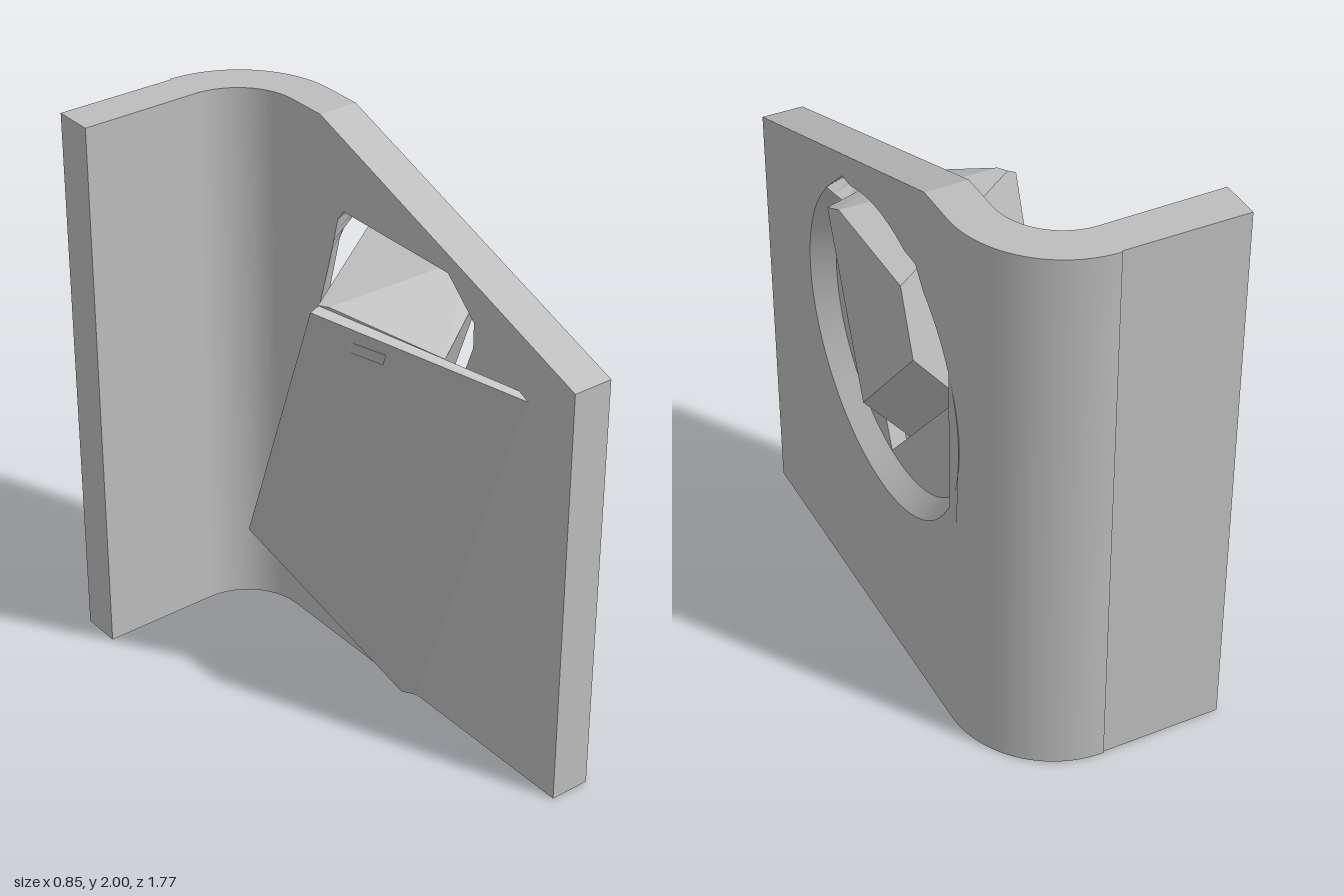
import * as THREE from 'three';
import { toCreasedNormals } from 'three/addons/utils/BufferGeometryUtils.js';
import { ConvexGeometry } from 'three/addons/geometries/ConvexGeometry.js';

const OUT = 0.37, IN = 0.225, FLOOR = 0.3; // wall faces and recess floor, along x
const BEND = -0.52, END = 0.885; // straight wall range, along z
const CZ = -0.03, CY = 1.18; // recess centre

const grey = new THREE.MeshStandardMaterial({ color: 0xbdbdbd, side: THREE.DoubleSide });
grey.name = 'plain grey';

// Strip of quads joining two loops of equal length
function strip(a, b) {
  const pos = [];
  a.forEach((p, i) => {
    const j = (i + 1) % a.length;
    for (const q of [p, a[j], b[j], p, b[j], b[i]]) pos.push(...q);
  });
  const g = new THREE.BufferGeometry();
  g.setAttribute('position', new THREE.Float32BufferAttribute(pos, 3));
  g.computeVertexNormals();
  return g;
}

// Flat face at a given x, with an optional hole; loops hold [x, y, z]
function flatFace(outline, hole, x) {
  const to2 = (p) => new THREE.Vector2(-p[2], p[1]);
  const s = new THREE.Shape(outline.map(to2));
  if (hole) s.holes.push(new THREE.Path(hole.map(to2)));
  return new THREE.ShapeGeometry(s).rotateY(Math.PI / 2).translate(x, 0, 0);
}

// Loops of the conical recess and the slanted opening in its floor
function recessLoops() {
  const poly = [[0.06, 0.69], [0.36, 1.49], [0.36, 1.58], [0.23, 1.7], [-0.3, 1.7], [-0.33, 1.66], [-0.435, 1.25]]
    .map(([z, y]) => [z - CZ, y - CY]);
  const radius = (t) => {
    const c = Math.cos(t), s = Math.sin(t);
    let best = 0;
    poly.forEach((p, i) => {
      const q = poly[(i + 1) % poly.length];
      const dz = q[0] - p[0], dy = q[1] - p[1], det = dz * s - dy * c;
      if (Math.abs(det) < 1e-9) return;
      const r = (dz * p[1] - dy * p[0]) / det;
      const k = (c * p[1] - s * p[0]) / det;
      if (r > 0 && k > -1e-6 && k < 1 + 1e-6) best = Math.max(best, r);
    });
    return best;
  };
  const angles = poly.map((p) => Math.atan2(p[1], p[0]));
  for (let i = 0; i < 96; i++) angles.push(-Math.PI + ((i + 0.5) / 96) * Math.PI * 2);
  angles.sort((a, b) => a - b);
  const loops = { rim: [], floor: [], cut: [], back: [] };
  for (const t of angles) {
    const p = radius(t);
    const at = (r, x) => [x, CY + r * Math.sin(t), CZ + r * Math.cos(t)];
    const rf = Math.min(0.555, Math.max(0.5, p));
    const xf = FLOOR + (OUT - FLOOR) * (rf - 0.5) / 0.055;
    const rim = Math.max(0.555, p);
    loops.rim.push(at(rim, OUT));
    loops.floor.push(at(Math.max(rf, p), xf));
    const c = at(p, xf);
    loops.cut.push(c);
    const k = THREE.MathUtils.clamp((1.5 - c[1]) / 0.25, 0, 1);
    loops.back.push([IN, c[1] - 0.097 * k, c[2] + 0.054 - 0.037 * k]);
  }
  return loops;
}

export function createModel() {
  const model = new THREE.Group();
  const add = (name, geometry, parent = model) => {
    const m = new THREE.Mesh(geometry, grey);
    m.name = name;
    parent.add(m);
  };
  const hull = (pts) => new ConvexGeometry(pts.map((p) => new THREE.Vector3(...p)));

  // Back flange and rounded corner
  const bend = new THREE.Shape();
  bend.moveTo(-0.43, 0.885);
  bend.lineTo(0, 0.885);
  bend.absarc(0, -BEND, OUT, Math.PI / 2, 0, true);
  bend.lineTo(IN, -BEND);
  bend.absarc(0, -BEND, IN, 0, Math.PI / 2, false);
  bend.lineTo(-0.43, 0.74);
  const bendGeo = new THREE.ExtrudeGeometry(bend, { depth: 2, bevelEnabled: false, curveSegments: 24 });
  add('backFlange', toCreasedNormals(bendGeo.rotateX(-Math.PI / 2), 0.5));

  // Straight wall with sloping top
  const wall = new THREE.Group();
  wall.name = 'sideWall';
  model.add(wall);
  const outline = (x) => [[x, 0, END], [x, 0, BEND], [x, 2, BEND], [x, 2, -0.37], [x, 1.545, END]];
  const loops = recessLoops();
  add('outerFace', flatFace(outline(OUT), loops.rim, OUT), wall);
  add('innerFace', flatFace(outline(IN), loops.back, IN), wall);
  add('wallEdges', strip(outline(OUT), outline(IN)), wall);
  add('recessCone', toCreasedNormals(strip(loops.rim, loops.floor), 0.5), wall);
  add('recessFloor', strip(loops.floor, loops.cut), wall);
  add('openingSides', strip(loops.cut, loops.back), wall);

  // Slanted block passing through the opening
  add('slantedBlock', hull([
    [0.42, 1.59, 0.24], [0.42, 1.635, 0.15], [0.42, 1.635, -0.3], [0.42, 1.41, -0.38], [0.42, 0.97, 0.01],
    [0.09, 1.51, 0.44], [-0.13, 1.635, 0.14], [-0.15, 1.635, 0.11], [-0.15, 0.65, -0.24], [0.083, 0.53, 0.088],
  ]));

  // Leaning end plate that meets the inside of the wall
  const plateZ = (x, y) => 0.11 + 1.58 * (x + 0.18) + 0.355 * (y - 1.62);
  const front = [[-0.18, 1.62], [IN, 1.42], [IN, 0], [0.195, 0], [-0.18, 0.635]];
  const rear = [[-0.15, 1.635], [IN, 1.44], [IN, 0], [-0.15, 0.65]];
  add('endPlate', hull([
    ...front.map(([x, y]) => [x, y, plateZ(x, y)]),
    ...rear.map(([x, y]) => [x, y, plateZ(x, y) - 0.051]),
  ]));

  // Small raised tab on the plate
  const tab = [[-0.095, 1.53], [-0.035, 1.505], [-0.035, 1.465], [-0.095, 1.49]];
  add('plateTab', hull([-0.002, 0.007].flatMap((d) => tab.map(([x, y]) => [x, y, plateZ(x, y) + d]))));

  return model;
}
